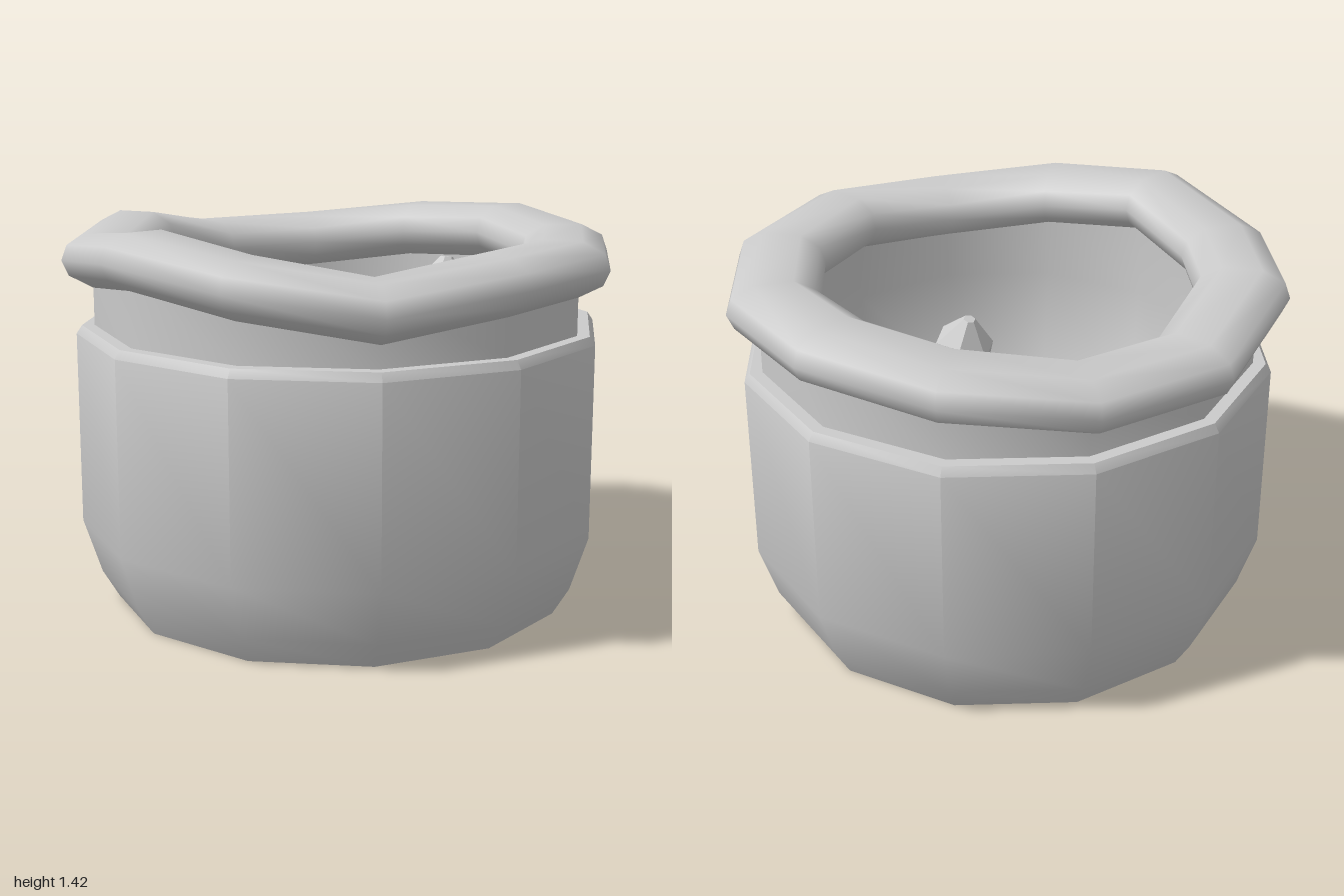
import * as THREE from 'three';
import { mergeVertices, toCreasedNormals } from 'three/addons/utils/BufferGeometryUtils.js';

const SIDES = 12;
const smooth = new THREE.MeshStandardMaterial({ color: 0xcccccc });
const faceted = new THREE.MeshStandardMaterial({ color: 0xcccccc, flatShading: true });
const profile = (pairs) => pairs.map(([r, y]) => new THREE.Vector2(r, y));

function named(name, geometry, material) {
  const mesh = new THREE.Mesh(geometry, material);
  mesh.name = name;
  return mesh;
}

// Pot wall: outside from base to neck, then down the hollow inside to the floor
function makePot() {
  const points = profile([
    [0, 0], [0.83, 0], [0.89, 0.1], [0.955, 0.3], [0.955, 1.0], [0.935, 1.03],
    [0.89, 1.03], [0.89, 1.25], [0.76, 1.25], [0.77, 0.95], [0.73, 0.5], [0.58, 0.3], [0, 0.25],
  ]);
  return named('pot', toCreasedNormals(new THREE.LatheGeometry(points, SIDES), 0.75), smooth);
}

// Rolled rim: an octagonal ring whose sections are lifted or dropped unevenly
function makeRim() {
  const lift = [0, 0, 0, 0.025, 0, -0.05, -0.055, 0.025, 0, 0.06, 0.01, -0.05];
  const points = profile([
    [0.76, 1.165], [0.89, 1.165], [0.975, 1.21], [1.0, 1.265], [0.98, 1.32], [0.9, 1.36],
    [0.76, 1.36], [0.69, 1.32], [0.67, 1.265], [0.69, 1.21], [0.76, 1.165],
  ]);
  let geometry = new THREE.LatheGeometry(points, SIDES);
  const p = geometry.attributes.position;
  for (let i = 0; i < p.count; i++) {
    const turn = Math.atan2(p.getX(i), p.getZ(i)) / (2 * Math.PI);
    const k = (Math.round(turn * SIDES) + SIDES) % SIDES;
    const push = k === 11 ? 1.035 : 1; // one section sags outwards
    p.setXYZ(i, p.getX(i) * push, p.getY(i) + lift[k], p.getZ(i) * push);
  }
  geometry.deleteAttribute('uv');
  geometry.deleteAttribute('normal');
  geometry = mergeVertices(geometry, 1e-4);
  geometry.computeVertexNormals();
  return named('rim', geometry, smooth);
}

// Six-sided crystal between two points; tip is the end-face radius as a share of the body's
function makeCrystal({ from, to, radius, tip, tipLength }) {
  const a = new THREE.Vector3(...from);
  const axis = new THREE.Vector3(...to).sub(a);
  const length = axis.length();
  const points = profile([
    [0, 0], [radius * 0.6, 0], [radius, tipLength * 0.7], [radius, length - tipLength],
    [radius * tip, length], [0, length],
  ]);
  const mesh = named('crystal', new THREE.LatheGeometry(points, 6), faceted);
  mesh.position.copy(a);
  mesh.quaternion.setFromUnitVectors(new THREE.Vector3(0, 1, 0), axis.normalize());
  return mesh;
}

export function createModel() {
  const model = new THREE.Group();
  model.name = 'potOfCrystals';
  model.add(makePot(), makeRim());

  const crystals = new THREE.Group();
  crystals.name = 'crystals';
  [
    // long one lying across the middle
    { from: [0.44, 0.68, -0.35], to: [-0.26, 0.66, 0.19], radius: 0.13, tip: 0.55, tipLength: 0.1 },
    // low one along the right side
    { from: [-0.29, 0.45, -0.43], to: [-0.31, 0.45, 0.4], radius: 0.16, tip: 0.5, tipLength: 0.13 },
    // thick one leaning at the back
    { from: [0.22, 0.5, -0.37], to: [-0.22, 0.86, -0.33], radius: 0.18, tip: 0.7, tipLength: 0.09 },
    // slim one resting on top
    { from: [0.23, 0.8, -0.44], to: [0.39, 0.78, -0.13], radius: 0.095, tip: 0.6, tipLength: 0.06 },
    // upright pillar
    { from: [0.38, 0.28, -0.02], to: [0.52, 1.21, 0], radius: 0.12, tip: 0.2, tipLength: 0.12 },
    // broad blunt one
    { from: [0.2, 0.32, 0.34], to: [0.37, 0.98, 0.25], radius: 0.21, tip: 0.72, tipLength: 0.12 },
    // small leaning one at the front
    { from: [-0.14, 0.4, 0.46], to: [-0.1, 0.98, 0.28], radius: 0.115, tip: 0.2, tipLength: 0.12 },
  ].forEach((spec) => crystals.add(makeCrystal(spec)));
  model.add(crystals);
  return model;
}
